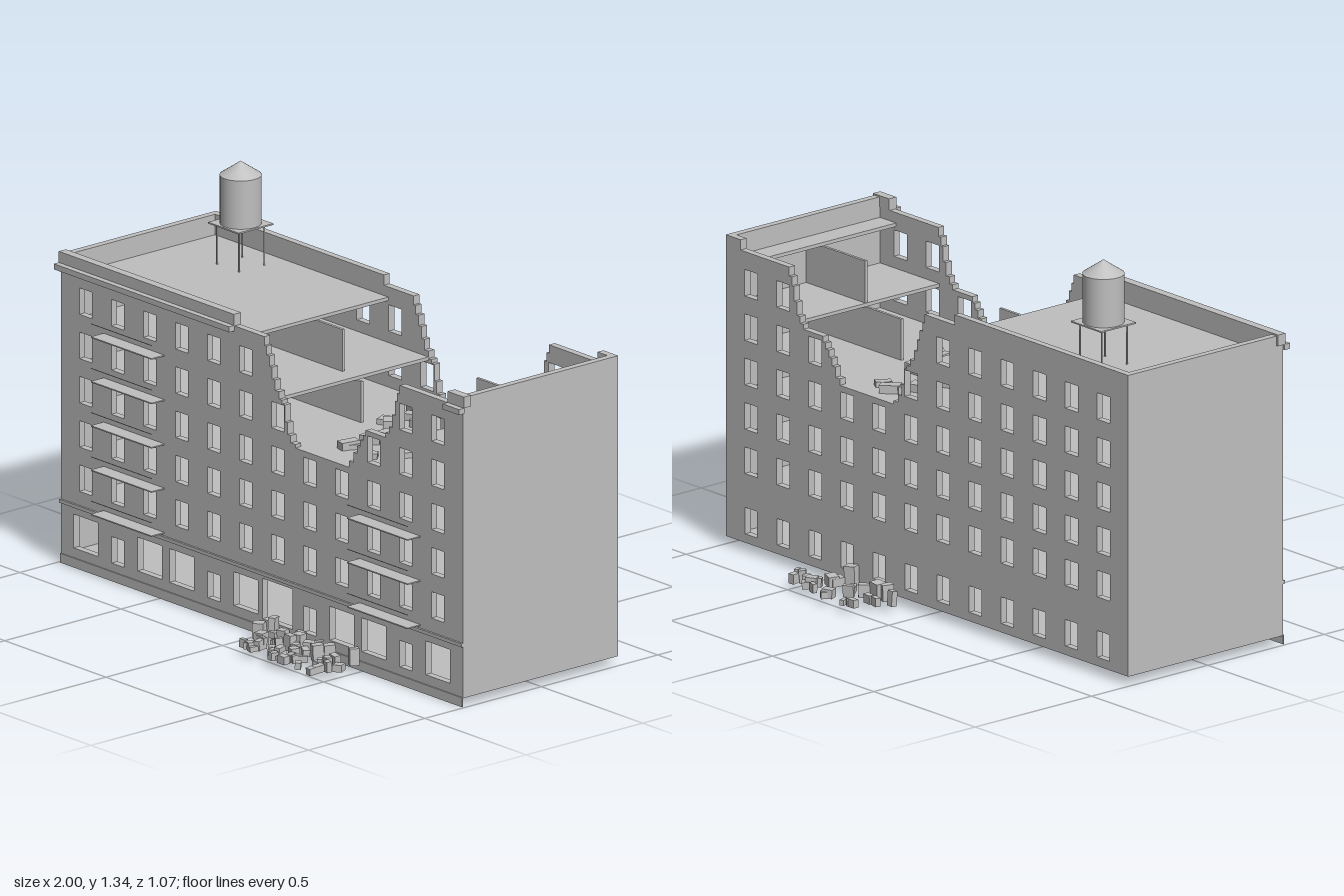
import * as THREE from 'three';

export function createModel() {
  const model = new THREE.Group();
  const grey = new THREE.MeshStandardMaterial({ color: 0xbfbfbf });
  grey.name = 'concrete grey';

  function add(name, geometry, parent = model) {
    const mesh = new THREE.Mesh(geometry, grey);
    mesh.name = name;
    parent.add(mesh);
    return mesh;
  }
  // Box given by its limits on each axis
  function box(name, x0, x1, y0, y1, z0, z1, parent) {
    const mesh = add(name, new THREE.BoxGeometry(x1 - x0, y1 - y0, z1 - z0), parent);
    mesh.position.set((x0 + x1) / 2, (y0 + y1) / 2, (z0 + z1) / 2);
    return mesh;
  }
  function group(name) {
    const g = new THREE.Group();
    g.name = name;
    model.add(g);
    return g;
  }
  let seed = 11;
  const random = (a, b) => {
    seed = (seed * 16807) % 2147483647;
    return a + (b - a) * seed / 2147483647;
  };

  const X = 0.993, FRONT = 0.33, BACK = -0.336, T = 0.025, BASE = 0.03;
  const xi = X - T, frontIn = FRONT - T, backIn = BACK + T;
  const floorY = [0.225, 0.376, 0.527, 0.678, 0.83];
  const ROOF = 0.985;

  // Stepped broken skyline: each entry is [x where a step ends, height up to there]
  const skyline = [
    [-0.135, 1.055], [0.012, 1.02], [0.022, 0.99], [0.036, 0.96], [0.05, 0.925],
    [0.065, 0.885], [0.085, 0.85], [0.1, 0.825], [0.114, 0.812], [0.126, 0.755],
    [0.142, 0.715], [0.165, 0.69], [0.43, 0.678], [0.452, 0.7], [0.468, 0.735],
    [0.484, 0.76], [0.5, 0.785], [0.512, 0.805], [0.61, 0.825], [0.626, 0.842],
    [0.642, 0.865], [0.656, 0.91], [0.667, 0.96], [0.68, 0.99], [0.92, 1.02], [X, 1.055],
  ];

  // Holes run anticlockwise, against the clockwise wall outline
  function rectHole(shape, x0, x1, y0, y1) {
    const hole = new THREE.Path();
    hole.moveTo(x0, y0);
    hole.lineTo(x1, y0);
    hole.lineTo(x1, y1);
    hole.lineTo(x0, y1);
    hole.closePath();
    shape.holes.push(hole);
  }

  // Long walls with window openings
  function longWall(name, z, storefront) {
    const shape = new THREE.Shape();
    shape.moveTo(-X, BASE);
    let x = -X;
    for (const [end, top] of skyline) {
      shape.lineTo(x, top);
      shape.lineTo(end, top);
      x = end;
    }
    shape.lineTo(X, BASE);
    shape.closePath();
    for (let col = 0; col < 12; col++) {
      const cx = -0.87 + col * 0.158;
      for (let row = 0; row < 5; row++) {
        const gone = (row === 4 && col > 5 && col < 10) || (row === 3 && col > 6 && col < 9);
        const y = 0.265 + row * 0.151;
        if (!gone) rectHole(shape, cx - 0.032, cx + 0.032, y, y + 0.09);
      }
      // Street level: large shop windows, one tall entrance, small windows between
      if (!storefront || col % 3 === 1) rectHole(shape, cx - 0.03, cx + 0.03, 0.06, 0.15);
      else if (col === 6) rectHole(shape, 0.002, 0.15, 0.055, 0.193);
      else rectHole(shape, cx - 0.06, cx + 0.06, 0.065, 0.18);
    }
    const geometry = new THREE.ExtrudeGeometry(shape, { depth: T, bevelEnabled: false });
    add(name, geometry).position.z = z;
  }
  longWall('frontWall', frontIn, true);
  longWall('backWall', BACK, false);

  // End walls
  box('rightWall', -X, -xi, BASE, 1.055, backIn, frontIn);
  box('leftWall', xi, X, BASE, 1.055, backIn, frontIn);

  // Ground slab, street apron, belt course and cornices
  box('groundSlab', -xi, xi, 0.02, 0.04, backIn, frontIn);
  box('streetApron', -X, X, 0, 0.032, FRONT, FRONT + 0.004);
  box('beltCourse', -X, X, 0.205, 0.217, FRONT, FRONT + 0.007);
  for (const [x0, x1] of [[-1, -0.135], [0.92, 1]]) {
    box('cornice', x0, x1, 1.003, 1.022, FRONT, FRONT + 0.024);
    box('parapetCap', x0, x1, 1.022, 1.06, frontIn - 0.003, FRONT + 0.003);
  }

  // Storey slabs, the top ones broken open
  const slab = (name, x0, x1, y) => box(name, x0, x1, y - 0.012, y, backIn, frontIn);
  for (let i = 0; i < 4; i++) slab('floorSlab', -xi, xi, floorY[i]);
  slab('brokenFloorSlab', -xi, 0.085, floorY[4]);
  slab('brokenFloorSlab', 0.675, xi, floorY[4]);
  slab('roofSlab', -xi, -0.113, ROOF);
  slab('roofSlab', 0.888, xi, ROOF);

  // Corridor partitions along the middle
  const partitions = group('partitions');
  const partition = (x0, x1, y0, y1) =>
    box('partition', x0, x1, y0, y1 - 0.012, -0.012, -0.002, partitions);
  for (let i = 0; i < 4; i++) partition(-xi, xi, i ? floorY[i - 1] : 0.04, floorY[i]);
  partition(-xi, 0.107, floorY[3], floorY[4]);
  partition(0.5, xi, floorY[3], floorY[4]);
  partition(-xi, 0.015, floorY[4], ROOF);
  partition(0.678, xi, floorY[4], ROOF);

  // Fire escape landings with a thin hand rail
  const escapes = group('fireEscapes');
  for (const [cx, levels] of [[-0.632, 5], [0.632, 3]]) {
    for (let i = 0; i < levels; i++) {
      const y = floorY[i];
      box('landing', cx - 0.15, cx + 0.15, y, y + 0.004, FRONT, 0.385, escapes);
      box('handRail', cx - 0.15, cx + 0.15, y + 0.047, y + 0.049, 0.383, 0.385, escapes);
    }
  }

  // Rooftop water tower
  const tower = group('waterTower');
  tower.position.set(-0.68, 0, -0.17);
  for (const x of [-0.054, 0.054]) {
    for (const z of [-0.054, 0.054]) {
      add('towerLeg', new THREE.CylinderGeometry(0.003, 0.003, 0.14, 8), tower).position.set(x, 1.055, z);
    }
  }
  box('towerPlatform', -0.075, 0.075, 1.123, 1.128, -0.075, 0.075, tower);
  add('waterTank', new THREE.CylinderGeometry(0.068, 0.068, 0.165, 32), tower).position.y = 1.2105;
  add('tankRoof', new THREE.ConeGeometry(0.069, 0.047, 32), tower).position.y = 1.3165;

  // Rubble: heaps against both long walls and blocks on the open floor
  const rubble = group('rubble');
  function block(x, y, z, w, h, d, tilt) {
    const b = add('rubbleBlock', new THREE.BoxGeometry(w, h, d), rubble);
    b.position.set(x, y, z);
    b.rotation.set(random(-tilt, tilt), random(0, Math.PI), random(-tilt, tilt));
  }
  function heap(count, wallZ, side) {
    for (let i = 0; i < count; i++) {
      const out = random(0.01, 0.19);
      const h = random(0.015, 0.03 + 0.045 * (1 - out / 0.19));
      const spread = 0.26 - out * 0.4;
      const x = 0.3 + random(-spread, spread);
      block(x, 0.024 + h / 2, wallZ + side * out, random(0.014, 0.046), h, random(0.014, 0.038), 0.08);
    }
  }
  heap(50, FRONT, 1);
  heap(24, BACK, -1);
  for (let i = 0; i < 22; i++) {
    const h = random(0.014, 0.032);
    block(random(0.14, 0.46), floorY[3] + h / 2, random(-0.28, 0.28),
      random(0.03, 0.085), h, random(0.025, 0.055), 0.06);
  }

  return model;
}
